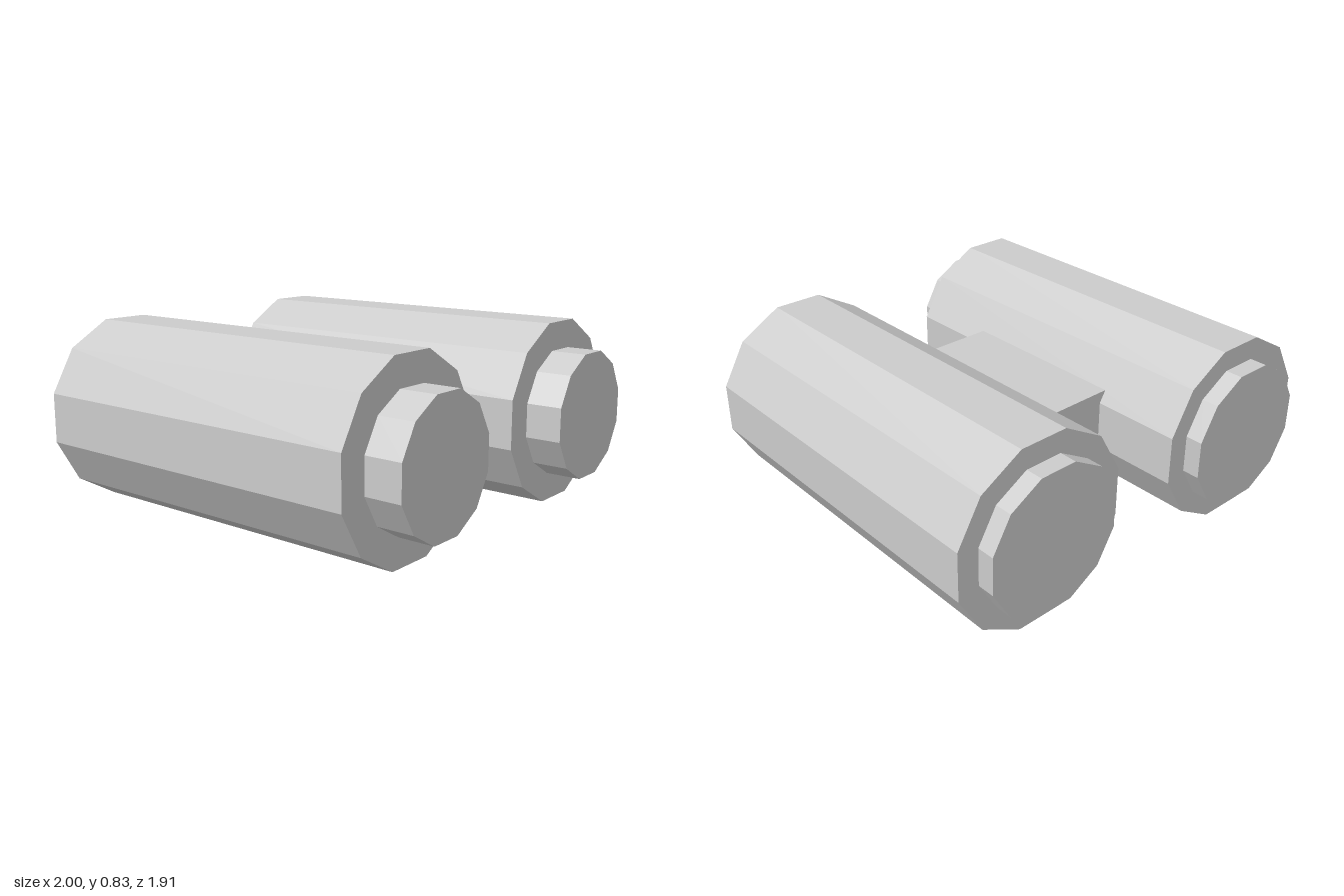
import * as THREE from 'three';

const SIDES = 12;
const AXIS_X = 0.583;
const AXIS_Y = 0.417;

const material = new THREE.MeshStandardMaterial({ color: 0xcccccc, flatShading: true });

// Twelve-sided barrel lying along z with a flat on top; size is given across the flats.
function barrel(name, halfWidth, zBack, zFront) {
  const radius = halfWidth / Math.cos(Math.PI / SIDES);
  const geometry = new THREE.CylinderGeometry(radius, radius, zFront - zBack, SIDES);
  geometry.rotateY(Math.PI / SIDES);
  geometry.rotateX(Math.PI / 2);
  const mesh = new THREE.Mesh(geometry, material);
  mesh.name = name;
  mesh.position.z = (zBack + zFront) / 2;
  return mesh;
}

// One tube with its narrow front eyepiece and shallow back lens
function tube(side, name) {
  const group = new THREE.Group();
  group.name = name;
  group.add(
    barrel('tubeBody', 0.417, -0.877, 0.79),
    barrel('eyepiece', 0.287, 0.79, 0.956),
    barrel('lens', 0.32, -0.956, -0.877)
  );
  group.position.set(side * AXIS_X, AXIS_Y, 0);
  return group;
}

export function createModel() {
  const model = new THREE.Group();
  model.name = 'binoculars';
  model.add(tube(1, 'leftTube'), tube(-1, 'rightTube'));

  // Bridge block joining the tubes
  const bridge = new THREE.Mesh(new THREE.BoxGeometry(0.5, 0.326, 0.83), material);
  bridge.name = 'bridge';
  bridge.position.set(0, 0.42, -0.045);
  model.add(bridge);

  return model;
}
